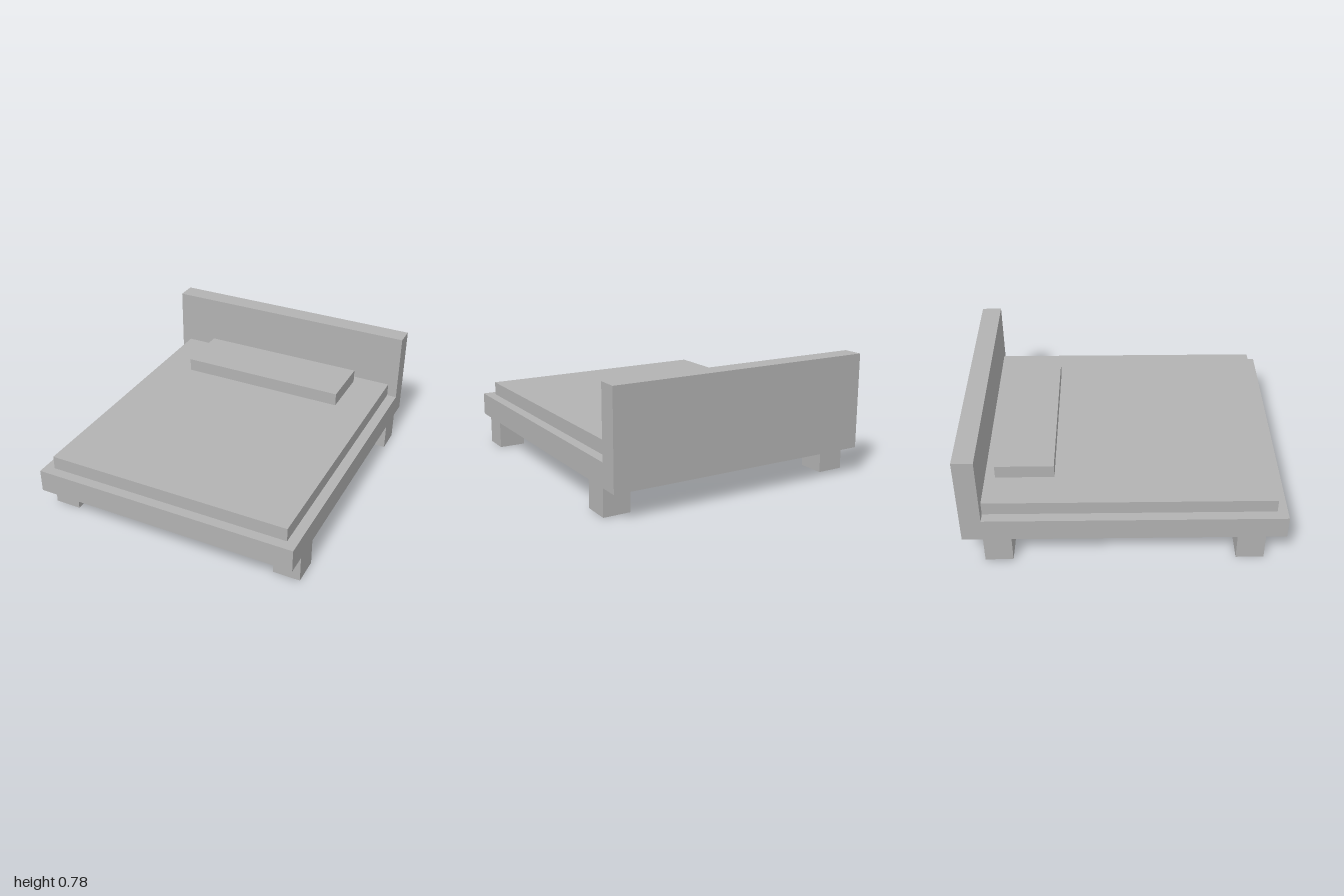
import * as THREE from 'three';

export function createModel() {
  const bed = new THREE.Group();
  bed.name = 'bed';

  const grey = new THREE.MeshStandardMaterial({ color: 0xb2b2b2 });
  grey.name = 'plain grey';

  // Box given by its [min, max] range on each axis
  function addBox(name, [x0, x1], [y0, y1], [z0, z1]) {
    const mesh = new THREE.Mesh(new THREE.BoxGeometry(x1 - x0, y1 - y0, z1 - z0), grey);
    mesh.position.set((x0 + x1) / 2, (y0 + y1) / 2, (z0 + z1) / 2);
    mesh.name = name;
    bed.add(mesh);
  }

  const halfWidth = 0.868;
  const legTop = 0.175, frameTop = 0.325, mattressTop = 0.413;
  const headboardFront = -0.87;

  // Frame and headboard meet flush at the sides
  addBox('frame', [-halfWidth, halfWidth], [legTop, frameTop], [headboardFront, 1]);
  addBox('headboard', [-halfWidth, halfWidth], [legTop, 0.782], [-1, headboardFront]);

  // Bedding
  addBox('mattress', [-0.803, 0.803], [frameTop, mattressTop], [headboardFront, 0.935]);
  addBox('pillow', [-0.565, 0.565], [mattressTop, 0.5], [-0.805, -0.435]);

  // Four legs, flush with the sides and inset from the ends
  const legInner = 0.695;
  for (const [side, x] of [['left', [legInner, halfWidth]], ['right', [-halfWidth, -legInner]]]) {
    addBox(side + 'FrontLeg', x, [0, legTop], [legInner, 0.87]);
    addBox(side + 'BackLeg', x, [0, legTop], [-0.87, -legInner]);
  }

  return bed;
}
